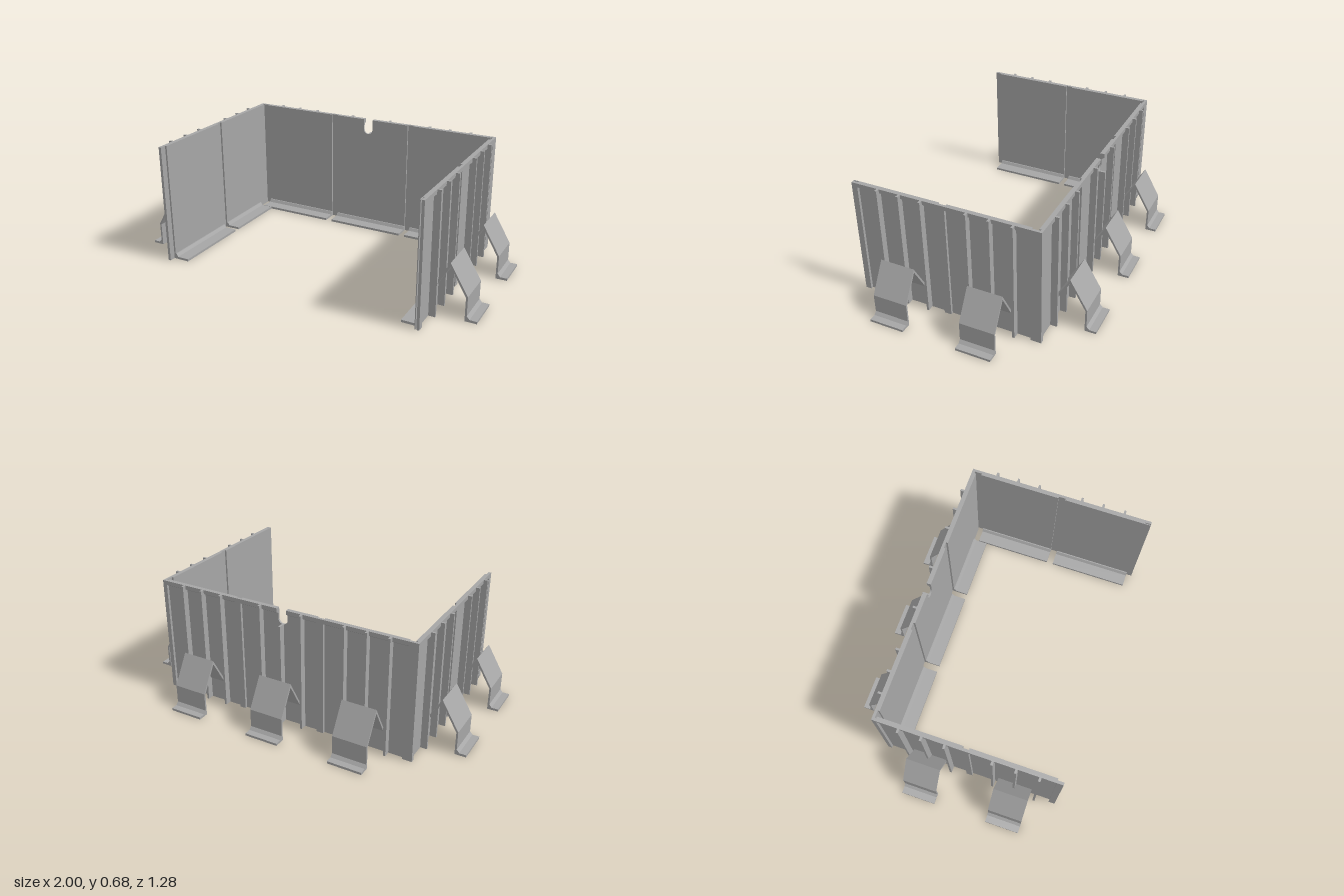
import * as THREE from 'three';

const H = 0.675;
const steel = new THREE.MeshStandardMaterial({ color: 0xa6a6a6 });
steel.name = 'greySteel';

// Each wall is built locally: x along the wall, y up, z outward from the inner face
function add(parent, name, geometry, x = 0, y = 0, z = 0) {
  const mesh = new THREE.Mesh(geometry, steel);
  mesh.name = name;
  mesh.position.set(x, y, z);
  parent.add(mesh);
  return mesh;
}

function box(parent, name, x0, x1, y0, y1, z0, z1) {
  return add(parent, name, new THREE.BoxGeometry(x1 - x0, y1 - y0, z1 - z0),
    (x0 + x1) / 2, (y0 + y1) / 2, (z0 + z1) / 2);
}

// Sweeps a (z, y) cross-section along x from x0 to x1
function section(parent, name, points, x0, x1) {
  const shape = new THREE.Shape(points.map(([z, y]) => new THREE.Vector2(-z, y)));
  const geo = new THREE.ExtrudeGeometry(shape, { depth: x1 - x0, bevelEnabled: false });
  geo.rotateY(Math.PI / 2);
  return add(parent, name, geo, x0);
}

const bracketProfile = [
  [0.012, 0.145], [0.1, 0.298], [0.197, 0.134], [0.197, 0.03], [0.212, 0.013],
  [0.25, 0.013], [0.25, 0], [0.187, 0], [0.187, 0.13], [0.1, 0.277], [0.012, 0.124],
];
const flangeProfile = [[0, 0], [0, 0.03], [-0.006, 0.03], [-0.016, 0.013], [-0.085, 0.013], [-0.085, 0]];
const railProfile = [[0.01, H], [0.025, H], [0.025, 0.652], [0.01, 0.642]];

// Flat panel with a round-bottomed slot cut into its top edge
function notchedPanel(parent, a, b, n) {
  const r = 0.028;
  const s = new THREE.Shape();
  s.moveTo(a, 0);
  s.lineTo(b, 0);
  s.lineTo(b, H);
  s.lineTo(n + r, H);
  s.lineTo(n + r, 0.613);
  s.absarc(n, 0.613, r, 0, Math.PI, true);
  s.lineTo(n - r, H);
  s.lineTo(a, H);
  add(parent, 'notchedPanel', new THREE.ExtrudeGeometry(s, { depth: 0.01, bevelEnabled: false, curveSegments: 16 }));
}

// sign maps the world coordinate along the wall to the local x axis
function buildWall({ name, sign, panels, strips, flanges, centres, notch }) {
  const wall = new THREE.Group();
  wall.name = name;
  const span = ([a, b]) => (sign > 0 ? [a, b] : [-b, -a]);

  panels.forEach((p) => {
    const [a, b] = span(p);
    const n = notch === undefined ? null : sign * notch;
    if (n !== null && n > a && n < b) {
      notchedPanel(wall, a, b, n);
      section(wall, 'topRail', railProfile, a, n - 0.028);
      section(wall, 'topRail', railProfile, n + 0.028, b);
    } else {
      box(wall, 'panel', a, b, 0, H, 0, 0.01);
      section(wall, 'topRail', railProfile, a, b);
    }
  });

  // Cover strips over the joints and ends
  strips.forEach((p) => {
    const [a, b] = span(p);
    box(wall, 'jointStrip', a, b, 0, H, 0.01, 0.025);
  });

  // Floor lips on the inner side
  flanges.forEach((p) => section(wall, 'floorLip', flangeProfile, ...span(p)));

  // Three ribs and one folded foot bracket per panel
  centres.forEach((c) => {
    const x = sign * c;
    for (const i of [-1, 0, 1]) {
      const rx = x + i * 0.125;
      const cut = i === 0 && notch !== undefined && Math.abs(c - notch) < 0.03;
      box(wall, 'rib', rx - 0.006, rx + 0.006, 0, cut ? 0.585 : H, 0.01, 0.047);
    }
    section(wall, 'footBracket', bracketProfile, x - 0.098, x + 0.098);
  });
  return wall;
}

export function createModel() {
  const model = new THREE.Group();
  model.name = 'panelEnclosure';

  const back = buildWall({
    name: 'backWall', sign: -1, notch: -0.007,
    panels: [[-0.72, -0.255], [-0.215, 0.25], [0.285, 0.75]],
    strips: [[-0.775, -0.72], [-0.255, -0.215], [0.25, 0.285], [0.75, 0.775]],
    flanges: [[-0.72, -0.255], [-0.215, 0.25], [0.285, 0.66]],
    centres: [-0.505, -0.005, 0.498],
  });
  back.rotation.y = Math.PI;
  back.position.z = -0.393;

  const left = buildWall({
    name: 'leftWall', sign: -1,
    panels: [[-0.36, 0.1], [0.14, 0.605]],
    strips: [[-0.403, -0.36], [0.1, 0.14], [0.605, 0.638]],
    flanges: [[-0.36, 0.1], [0.14, 0.605]],
    centres: [-0.148, 0.355],
  });
  // Inner fin of the open end channel
  box(left, 'endFin', -0.638, -0.605, 0, H, 0, 0.005);
  left.rotation.y = Math.PI / 2;
  left.position.x = 0.75;

  const right = buildWall({
    name: 'rightWall', sign: 1,
    panels: [[-0.395, 0.07], [0.105, 0.57]],
    strips: [[-0.403, -0.395], [0.07, 0.105], [0.57, 0.605]],
    flanges: [[-0.305, 0.07], [0.105, 0.57]],
    centres: [-0.145, 0.36],
  });
  right.rotation.y = -Math.PI / 2;
  right.position.x = -0.75;

  model.add(back, left, right);
  return model;
}
